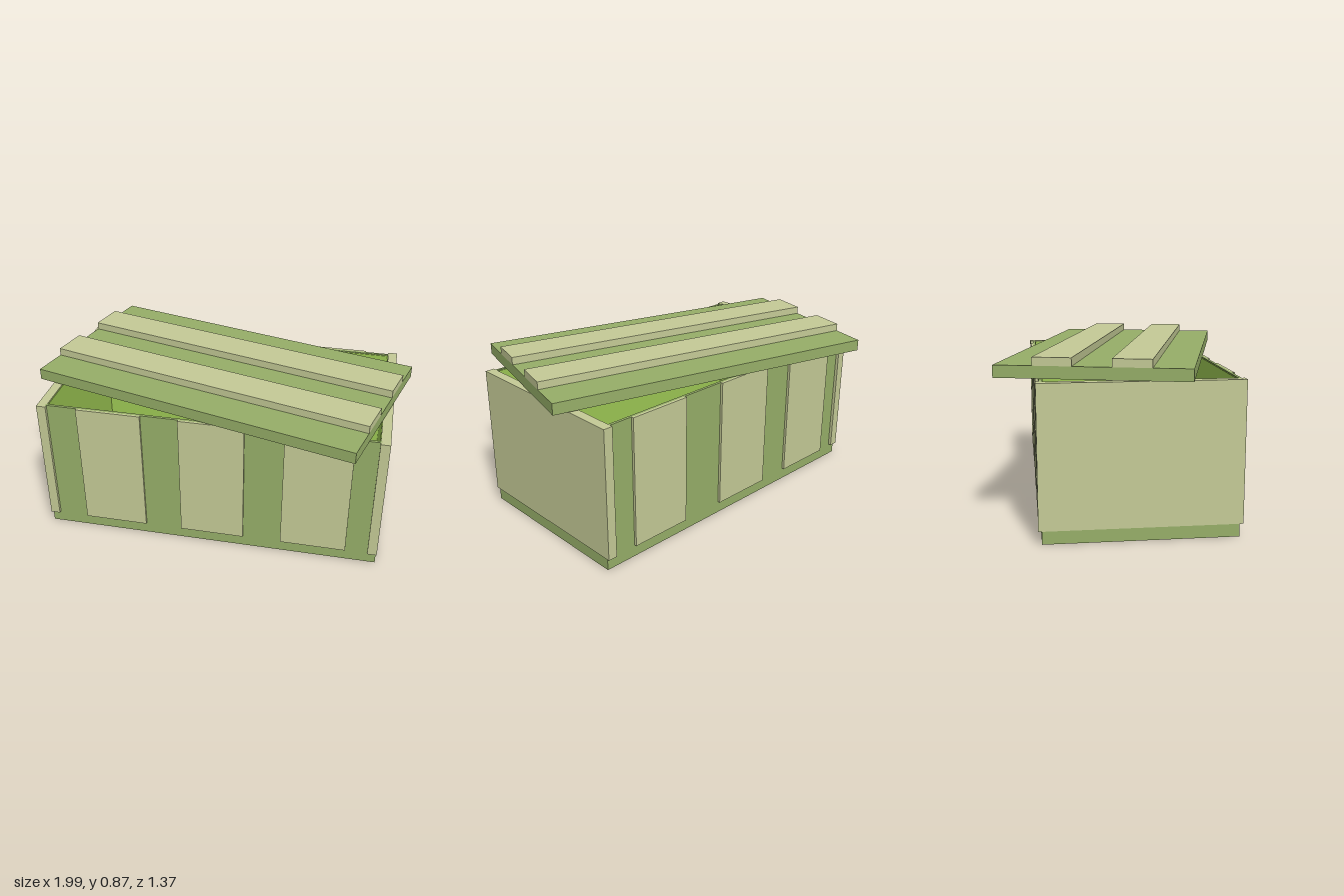
import * as THREE from 'three';

const mat = (name, color) => {
  const m = new THREE.MeshStandardMaterial({ color });
  m.name = name;
  return m;
};

export function createModel() {
  const green = mat('green board', 0x96ae68);
  const tan = mat('pale board', 0xc4ca96);
  const lining = mat('bright lining', 0x9cc653);
  const crate = new THREE.Group();
  crate.name = 'crate';

  // Box given by its lower and upper limits on each axis
  const box = (parent, name, material, [x0, x1], [y0, y1], [z0, z1]) => {
    const mesh = new THREE.Mesh(new THREE.BoxGeometry(x1 - x0, y1 - y0, z1 - z0), material);
    mesh.position.set((x0 + x1) / 2, (y0 + y1) / 2, (z0 + z1) / 2);
    mesh.name = name;
    parent.add(mesh);
    return mesh;
  };
  const span = (a, b, side) => (side > 0 ? [a, b] : [-b, -a]);

  const top = 0.765;
  const slatY = [0.065, top];

  // Base and its inside floor
  box(crate, 'base', green, [-0.908, 0.908], [0, 0.065], [-0.473, 0.473]);
  box(crate, 'innerFloor', lining, [-0.86, 0.86], [0.065, 0.07], [-0.455, 0.455]);

  // Long walls, end boards and the lining behind them
  for (const s of [1, -1]) {
    box(crate, 'longWall', green, [-0.87, 0.87], [0.065, top], span(0.458, 0.473, s));
    box(crate, 'longLining', lining, [-0.86, 0.86], [0.07, top - 0.005], span(0.454, 0.458, s));
    box(crate, 'endBoard', tan, span(0.863, 0.913, s), slatY, [-0.49, 0.49]);
    box(crate, 'endLining', lining, span(0.859, 0.863, s), [0.07, top - 0.005], [-0.455, 0.455]);
  }

  // Upright slats, spaced a little unevenly front and back
  const slats = {
    front: [[-0.7, -0.355], [-0.155, 0.19], [0.395, 0.745]],
    back: [[-0.76, -0.41], [-0.22, 0.135], [0.39, 0.735]],
  };
  for (const x of slats.front) box(crate, 'frontSlat', tan, x, slatY, [0.473, 0.485]);
  for (const x of slats.back) box(crate, 'backSlat', tan, x, slatY, [-0.487, -0.473]);

  // Lid lying askew, with two raised planks
  const lid = new THREE.Group();
  lid.name = 'lid';
  lid.rotation.y = -0.26;
  crate.add(lid);
  const half = 0.905, deep = 0.468, strip = deep * 2 / 5;
  const panel = box(lid, 'lidPanel', green, [-half, half], [0.77, 0.83], [-deep, deep]);
  // Underside uses the lining colour (face order: +x -x +y -y +z -z)
  panel.material = [green, green, green, lining, green, green];
  for (const s of [1, -1]) {
    box(lid, 'lidPlank', tan, [-half, half], [0.83, 0.87], span(strip / 2, strip * 1.5, s));
  }
  return crate;
}
